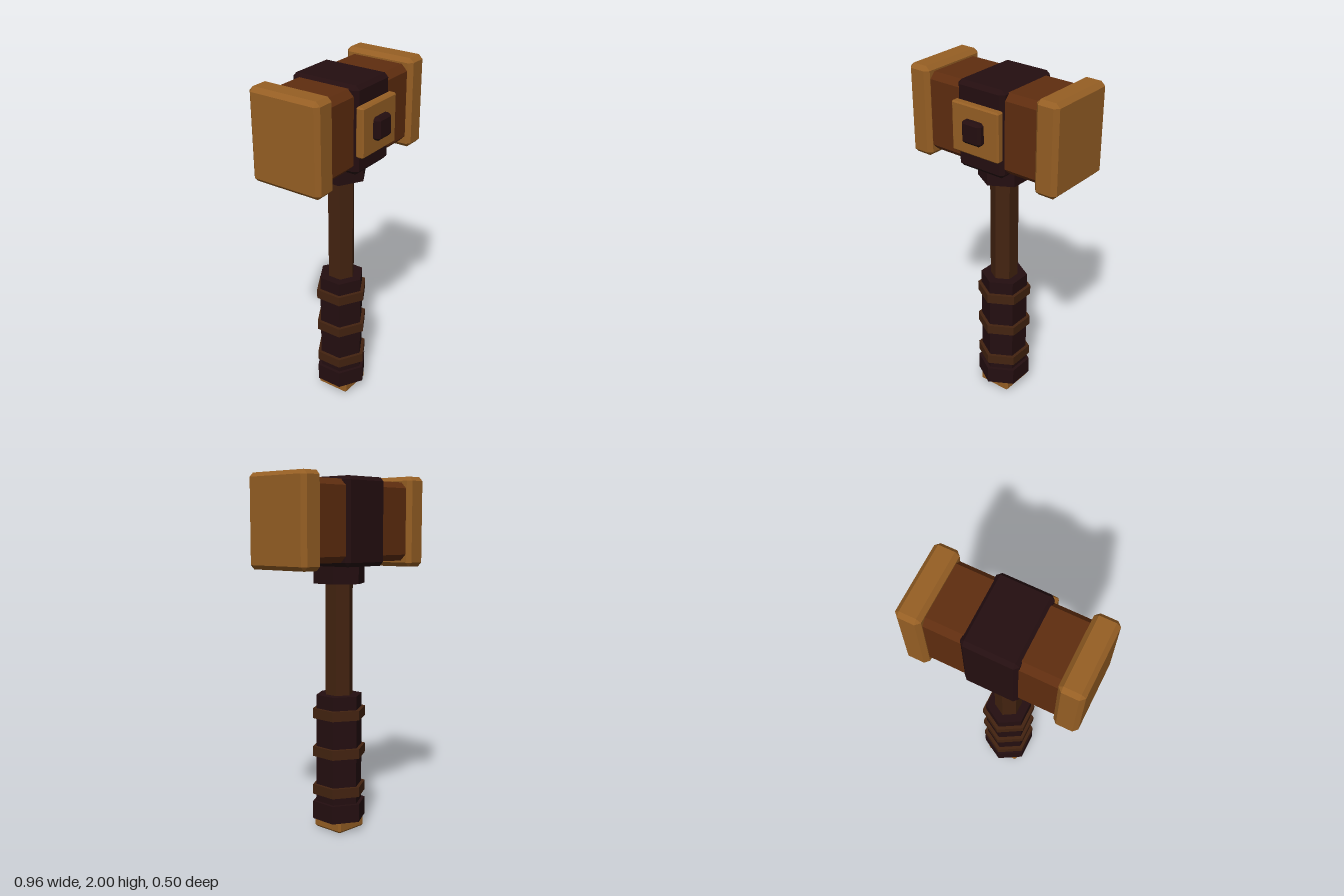
import * as THREE from 'three';
import { ConvexGeometry } from 'three/addons/geometries/ConvexGeometry.js';

const Z = -0.035; // depth of the handle axis

function material(name, color) {
  const m = new THREE.MeshStandardMaterial({ color });
  m.name = name;
  return m;
}

// Box between two corners with every edge cut by a flat bevel
function bevelBox(min, max, bevel) {
  const lo = new THREE.Vector3(...min), hi = new THREE.Vector3(...max);
  const centre = lo.clone().add(hi).multiplyScalar(0.5);
  const half = hi.clone().sub(lo).multiplyScalar(0.5);
  const points = [];
  for (const sx of [-1, 1]) for (const sy of [-1, 1]) for (const sz of [-1, 1]) {
    for (const axis of ['x', 'y', 'z']) {
      const p = half.clone().subScalar(bevel);
      p[axis] = half[axis];
      points.push(p.multiply(new THREE.Vector3(sx, sy, sz)));
    }
  }
  const g = new ConvexGeometry(points);
  g.translate(centre.x, centre.y, centre.z);
  return g;
}

// Six-sided upright prism with flat faces, corners pointing front and back
function hexPrism(radius, y0, y1) {
  const g = new THREE.CylinderGeometry(radius, radius, y1 - y0, 6).toNonIndexed();
  g.computeVertexNormals();
  g.translate(0, (y0 + y1) / 2, Z);
  return g;
}

export function createModel() {
  const gold = material('gold', 0x965f24);
  const wood = material('reddish wood', 0x5f2d0f);
  const leather = material('dark leather', 0x240e10);
  const brown = material('handle brown', 0x432310);

  const model = new THREE.Group();
  model.name = 'hammer';
  const add = (name, geometry, mat, parent = model) => {
    const mesh = new THREE.Mesh(geometry, mat);
    mesh.name = name;
    parent.add(mesh);
  };

  // Head
  const head = new THREE.Group();
  head.name = 'head';
  model.add(head);
  add('headBlock', bevelBox([-0.4, 1.53, -0.225], [0.4, 1.968, 0.151], 0.034), wood, head);
  add('leftCap', bevelBox([0.345, 1.495, -0.252], [0.48, 2, 0.177], 0.023), gold, head);
  add('rightCap', bevelBox([-0.48, 1.495, -0.252], [-0.345, 2, 0.177], 0.023), gold, head);
  add('centreBand', bevelBox([-0.151, 1.507, -0.243], [0.151, 1.985, 0.171], 0.022), leather, head);
  add('frontPlate', bevelBox([-0.152, 1.613, 0.163], [0.152, 1.885, 0.21], 0.008), gold, head);
  add('frontStud', bevelBox([-0.062, 1.687, 0.19], [0.062, 1.811, 0.247], 0.015), leather, head);

  // Handle
  const handle = new THREE.Group();
  handle.name = 'handle';
  model.add(handle);
  add('collar', hexPrism(0.147, 1.41, 1.54), leather, handle);
  add('shaft', hexPrism(0.079, 0.75, 1.43), brown, handle);
  add('grip', hexPrism(0.134, 0.08, 0.783), leather, handle);
  for (const y of [0.235, 0.458, 0.678]) {
    add('gripRing', hexPrism(0.155, y - 0.028, y + 0.028), brown, handle);
  }
  add('gripEnd', hexPrism(0.155, 0.06, 0.163), leather, handle);
  add('pommel', bevelBox([-0.102, 0, Z - 0.102], [0.102, 0.09, Z + 0.102], 0.012), gold, handle);

  return model;
}
